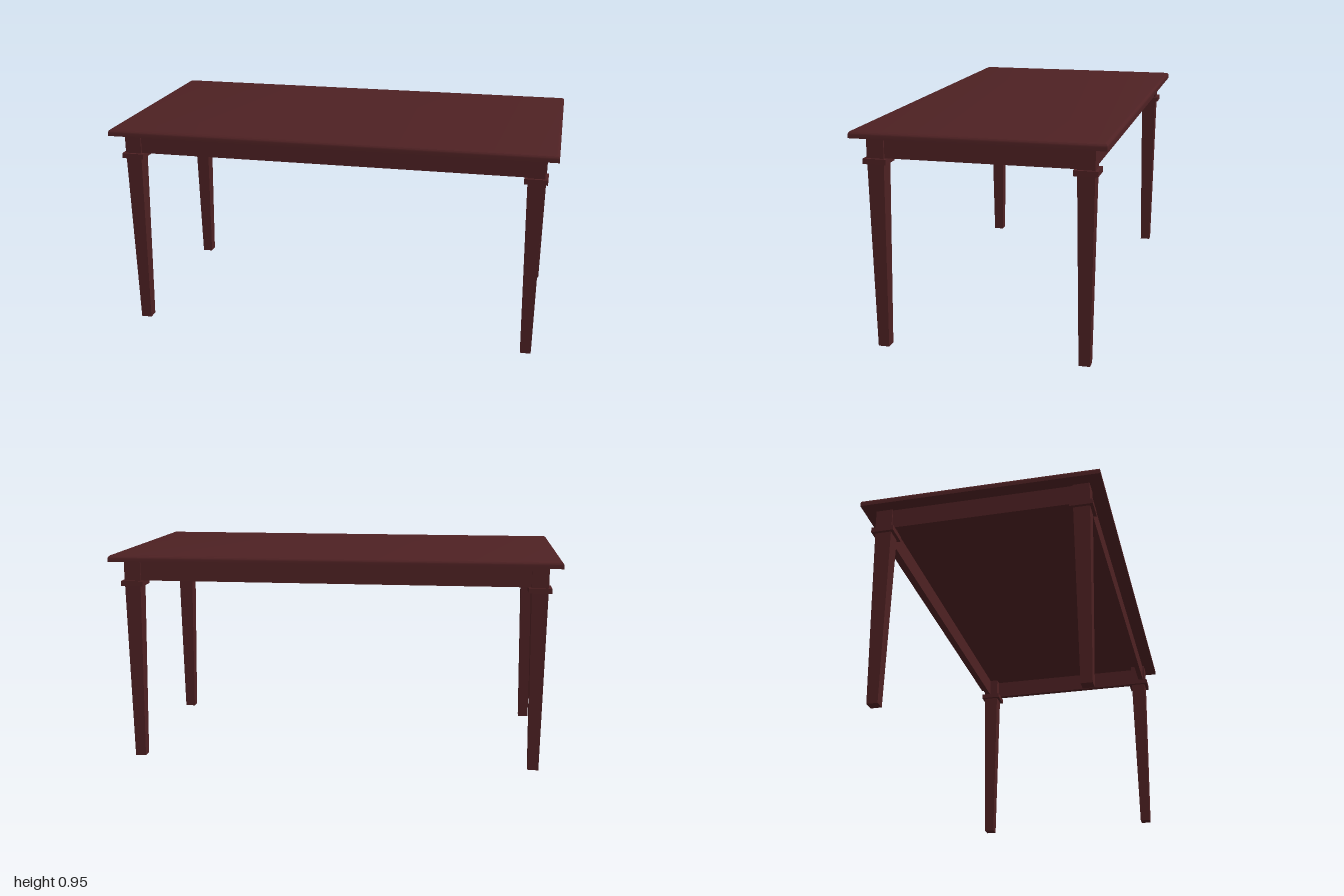
import * as THREE from 'three';
import { toCreasedNormals } from 'three/addons/utils/BufferGeometryUtils.js';

// Solid built from stacked rectangles, each [y, halfWidth, halfDepth], bottom to top
function loft(rings) {
  const pos = [], idx = [];
  for (const [y, w, d] of rings) pos.push(-w, y, d, w, y, d, w, y, -d, -w, y, -d);
  for (let r = 0; r < rings.length - 1; r++) {
    for (let i = 0; i < 4; i++) {
      const a = r * 4 + i, b = r * 4 + (i + 1) % 4;
      idx.push(a, b, b + 4, a, b + 4, a + 4);
    }
  }
  const t = (rings.length - 1) * 4;
  idx.push(0, 2, 1, 0, 3, 2, t, t + 1, t + 2, t, t + 2, t + 3);
  const geo = new THREE.BufferGeometry();
  geo.setAttribute('position', new THREE.Float32BufferAttribute(pos, 3));
  geo.setIndex(idx);
  return toCreasedNormals(geo, Math.PI / 5);
}

export function createModel() {
  const table = new THREE.Group();
  table.name = 'table';
  const wood = new THREE.MeshStandardMaterial({ color: 0x4e2123 });
  wood.name = 'dark mahogany';

  const add = (parent, name, geo, x = 0, y = 0, z = 0) => {
    const mesh = new THREE.Mesh(geo, wood);
    mesh.name = name;
    mesh.position.set(x, y, z);
    parent.add(mesh);
  };

  // Table top with a rounded upper edge
  const W = 1, D = 0.53, H = 0.95, under = 0.92, R = 0.015;
  const topRings = [[under, W, D]];
  for (let i = 0; i <= 4; i++) {
    const a = (i / 4) * Math.PI / 2, inset = R * (1 - Math.cos(a));
    topRings.push([H - R + R * Math.sin(a), W - inset, D - inset]);
  }
  add(table, 'tableTop', loft(topRings));

  // Legs: tapered shaft, collar and corner block
  const legX = 0.908, legZ = 0.438, half = 0.037;
  const collarLow = 0.806, collarHigh = 0.829;
  const shaft = loft([[0, 0.024, 0.024], [collarLow, half - 0.001, half - 0.001]]);
  const collar = new THREE.BoxGeometry(0.1, collarHigh - collarLow, 0.1);
  const block = new THREE.BoxGeometry(half * 2, under - collarHigh, half * 2);
  for (const sx of [-1, 1]) {
    for (const sz of [-1, 1]) {
      const leg = new THREE.Group();
      leg.name = (sz > 0 ? 'front' : 'back') + (sx > 0 ? 'Left' : 'Right') + 'Leg';
      leg.position.set(sx * legX, 0, sz * legZ);
      add(leg, 'shaft', shaft);
      add(leg, 'collar', collar, 0, (collarLow + collarHigh) / 2);
      add(leg, 'cornerBlock', block, 0, (collarHigh + under) / 2);
      table.add(leg);
    }
  }

  // Apron rails between the corner blocks, set slightly back from their faces
  const thick = 0.025, setBack = 0.008, railLow = 0.83;
  const railY = (railLow + under) / 2, offset = half - setBack - thick / 2;
  const longRail = new THREE.BoxGeometry((legX - half) * 2, under - railLow, thick);
  const shortRail = new THREE.BoxGeometry(thick, under - railLow, (legZ - half) * 2);
  for (const s of [-1, 1]) {
    add(table, s > 0 ? 'frontApron' : 'backApron', longRail, 0, railY, s * (legZ + offset));
    add(table, s > 0 ? 'leftApron' : 'rightApron', shortRail, s * (legX + offset), railY, 0);
  }

  return table;
}
